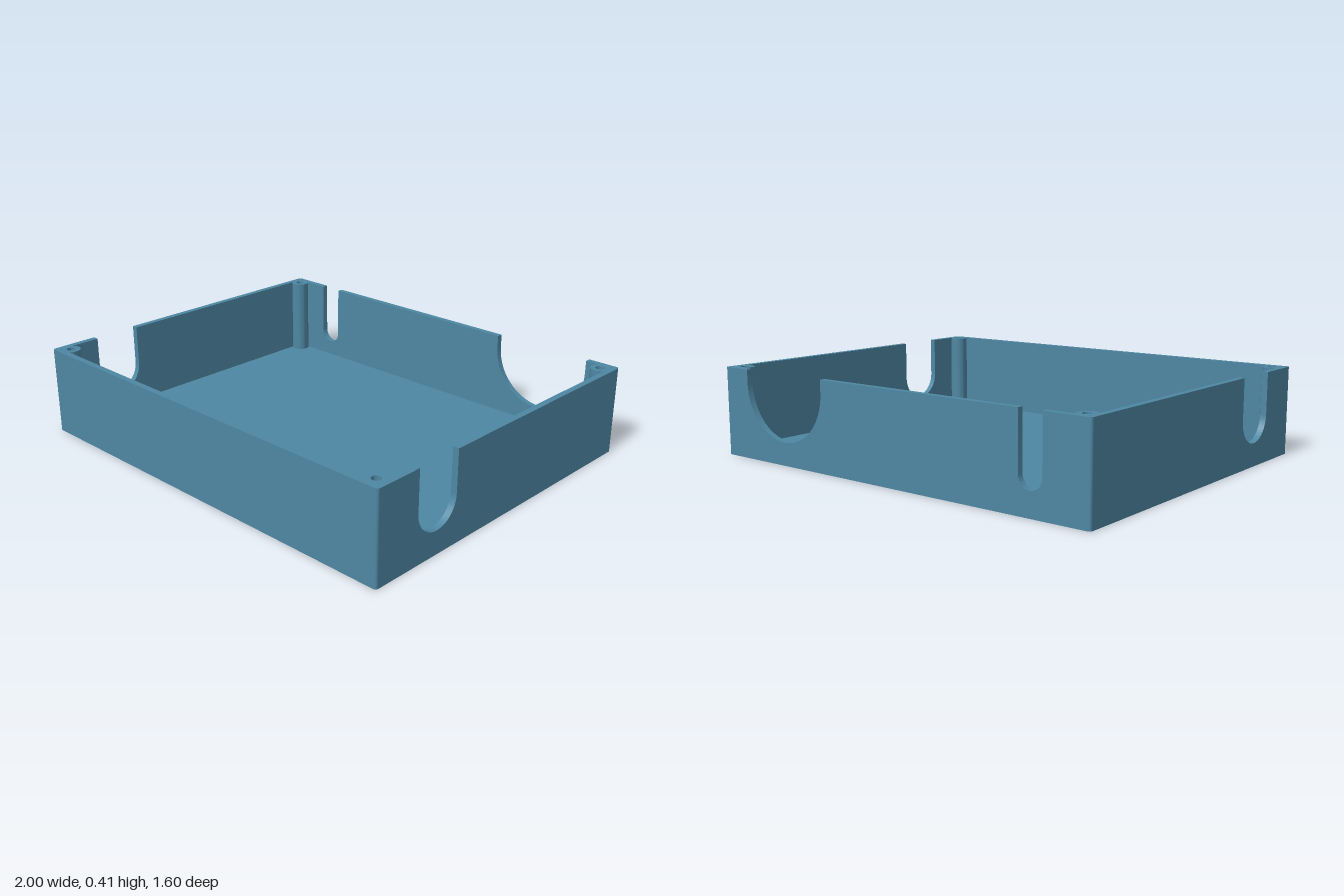
import * as THREE from 'three';
import { toCreasedNormals } from 'three/addons/utils/BufferGeometryUtils.js';

const W = 1, D = 0.8, H = 0.405;   // half width, half depth, height
const T = 0.028, FLOOR = 0.03;     // wall and floor thickness
const R = 0.012;                   // rounding of the upright edges
const SLOT_BOTTOM = 0.105;

// Upright wall panel with round-bottomed slots open at the top.
// Slots are [centre, radius], listed from the right end to the left.
function wallGeometry(half, slots) {
  const s = new THREE.Shape();
  s.moveTo(-half, 0);
  s.lineTo(half, 0);
  s.lineTo(half, H);
  for (const [c, r] of slots) {
    s.lineTo(c + r, H);
    s.absarc(c, SLOT_BOTTOM + r, r, 0, -Math.PI, true);
    s.lineTo(c - r, H);
  }
  s.lineTo(-half, H);
  s.closePath();
  return toCreasedNormals(
    new THREE.ExtrudeGeometry(s, { depth: T, bevelEnabled: false, curveSegments: 32 }), 0.6);
}

// Screw post: a tube standing on the floor
function postGeometry() {
  const s = new THREE.Shape().absarc(0, 0, 0.043, 0, Math.PI * 2, false);
  s.holes.push(new THREE.Path().absarc(0, 0, 0.02, 0, Math.PI * 2, true));
  const g = new THREE.ExtrudeGeometry(s, { depth: H - FLOOR, bevelEnabled: false, curveSegments: 32 });
  g.rotateX(-Math.PI / 2).translate(0, FLOOR, 0);
  return toCreasedNormals(g, 0.6);
}

export function createModel() {
  const model = new THREE.Group();
  model.name = 'enclosureBase';
  const blue = new THREE.MeshStandardMaterial({ color: 0x4e87a3 });
  blue.name = 'steelBlue';

  const add = (name, geometry, x = 0, y = 0, z = 0) => {
    const mesh = new THREE.Mesh(geometry, blue);
    mesh.name = name;
    mesh.position.set(x, y, z);
    model.add(mesh);
  };

  // Floor between the walls
  add('floor', new THREE.BoxGeometry(2 * (W - T), FLOOR, 2 * (D - T)), 0, FLOOR / 2, 0);

  // Front wall is plain, back wall has a wide and a narrow slot
  add('frontWall', wallGeometry(W - R, []), 0, 0, D - T);
  add('backWall', wallGeometry(W - R, [[0.61, 0.24], [-0.735, 0.055]]), 0, 0, -D);

  // Side walls, each with one slot towards the front
  const side = wallGeometry(D - R, [[0.46, 0.113]]).rotateY(-Math.PI / 2);
  add('leftWall', side, W);
  add('rightWall', side, -W + T);

  // Rounded upright edges and screw posts at the four corners
  const edge = new THREE.CylinderGeometry(R, R, H, 24);
  const post = postGeometry();
  for (const sx of [-1, 1]) {
    for (const sz of [-1, 1]) {
      add('cornerEdge', edge, sx * (W - R), H / 2, sz * (D - R));
      add('screwPost', post, sx * 0.94, 0, sz * 0.74);
    }
  }
  return model;
}
